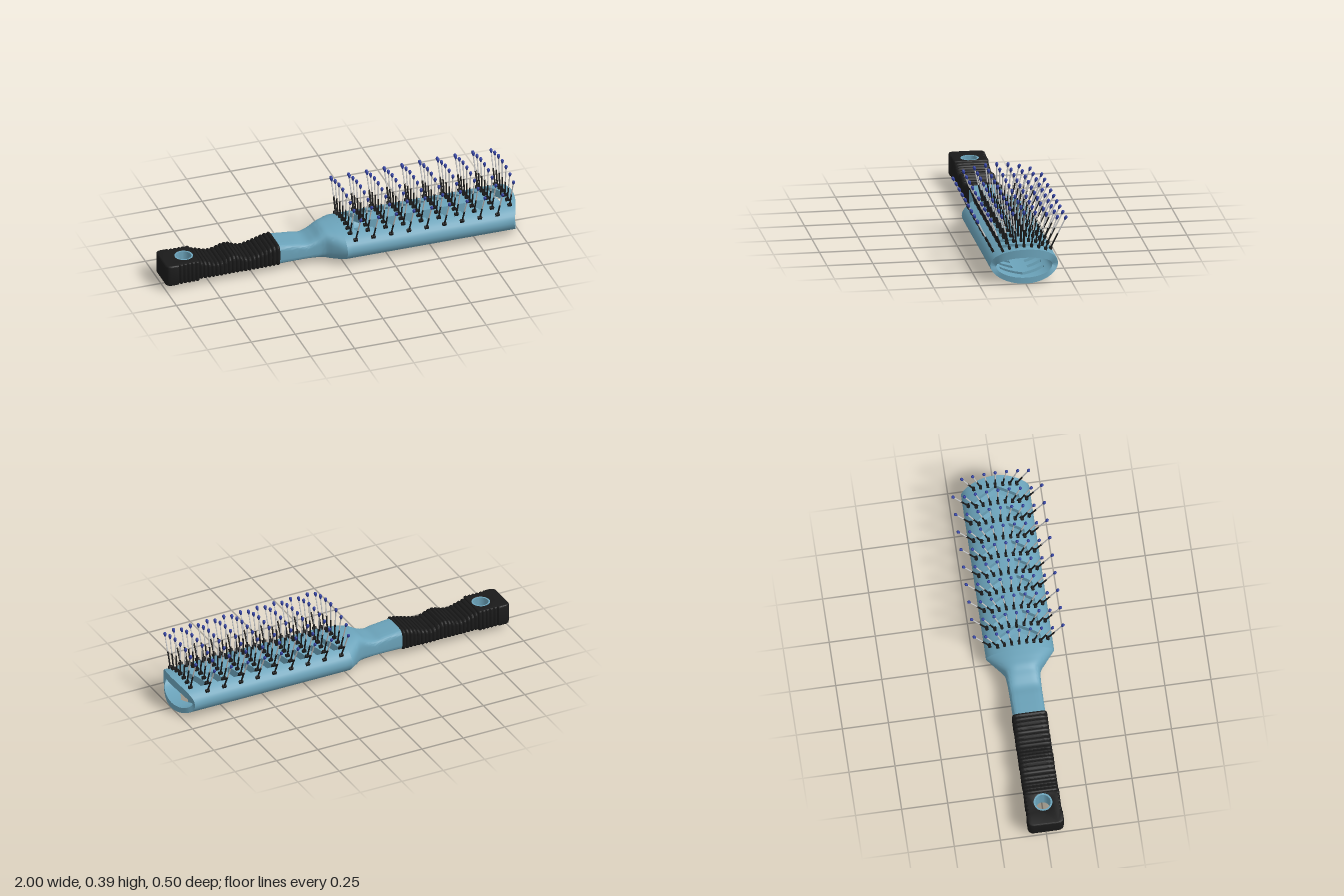
import * as THREE from 'three';
import { toCreasedNormals } from 'three/addons/utils/BufferGeometryUtils.js';

const mat = (color) => new THREE.MeshStandardMaterial({ color });
const BLUE = mat(0x6ba3ba), BLACK = mat(0x1a1a1a), STEEL = mat(0xcccccc), TIP = mat(0x2f3f9f);

function named(name, geometry, material) {
  const mesh = new THREE.Mesh(geometry, material);
  mesh.name = name;
  return mesh;
}

// Collects quads and turns them into a geometry with sharp edges kept
function builder() {
  const pos = [];
  const tri = (...pts) => pts.forEach((p) => pos.push(...p));
  return {
    tri,
    quad: (a, b, c, d) => { tri(a, b, c); tri(a, c, d); },
    finish: (crease) => {
      const g = new THREE.BufferGeometry();
      g.setAttribute('position', new THREE.Float32BufferAttribute(pos, 3));
      return toCreasedNormals(g, crease);
    },
  };
}

// Closed loft of superellipse sections { x, y0, y1, hz, n }
function loft(sections, crease, around = 48) {
  const b = builder();
  const rings = sections.map(({ x, y0, y1, hz, n }) => Array.from({ length: around }, (_, q) => {
    const t = (q / around) * Math.PI * 2, c = Math.cos(t), s = Math.sin(t);
    const pow = (v) => Math.sign(v) * Math.abs(v) ** (2 / n);
    return [x, (y0 + y1) / 2 + pow(s) * (y1 - y0) / 2, pow(c) * hz];
  }));
  const mid = ({ x, y0, y1 }) => [x, (y0 + y1) / 2, 0];
  const last = rings.length - 1;
  for (let q = 0; q < around; q++) {
    const r = (q + 1) % around;
    for (let i = 0; i < last; i++) b.quad(rings[i][q], rings[i + 1][q], rings[i + 1][r], rings[i][r]);
    b.tri(mid(sections[0]), rings[0][q], rings[0][r]);
    b.tri(mid(sections[last]), rings[last][r], rings[last][q]);
  }
  return b.finish(crease);
}

// Hollow oval barrel: a grid whose x lines follow the chevrons, with slot cells left out
function barrelGeometry() {
  const zOut = [0, 0.02, 0.04, 0.06, 0.08, 0.1, 0.12, 0.14, 0.157, 0.17, 0.18, 0.185];
  const zIn = [0, 0.02, 0.04, 0.06, 0.08, 0.1, 0.12, 0.133, 0.142, 0.148, 0.152, 0.153];
  const m = zOut.length - 1, around = 4 * m, slots = 9, cols = 2 * slots + 1;
  const arc = (z, half) => Math.sqrt(Math.max(0, 1 - (z / half) ** 2));
  const ring = Array.from({ length: around }, (_, q) => {
    const up = q < 2 * m ? 1 : -1, k = (m - (q % (2 * m))) * up, a = Math.abs(k), s = Math.sign(k);
    return {
      z: zOut[a],
      out: [0.095 + up * 0.095 * arc(zOut[a], 0.185), s * zOut[a]],
      inn: [0.089 + up * 0.056 * arc(zIn[a], 0.153), s * zIn[a]],
    };
  });
  const lineX = (c, z) => {
    if (c === 0) return 0;
    if (c === cols) return 0.95 + 0.05 * (1 - (z / 0.185) ** 2);
    return 0.12 + 0.1 * Math.floor((c - 1) / 2) + (c % 2 ? -0.022 : 0.022) - 0.5 * Math.min(z, 0.13);
  };
  const point = (side, q, c) => {
    const r = ring[(q + around) % around];
    return [lineX(c, r.z), ...r[side]];
  };
  const solid = (q, c) => {
    if (c >= cols) return false;
    if (c < 0 || c % 2 === 0) return true;
    const z = (ring[(q + around) % around].z + ring[(q + 1 + around) % around].z) / 2;
    const joined = c === 1 || c === cols - 2;
    return z > 0.12 || (z < 0.04 && !joined);
  };
  const b = builder();
  for (let q = 0; q < around; q++) {
    for (let c = 0; c < cols; c++) {
      if (!solid(q, c)) continue;
      const corners = [[q, c], [q, c + 1], [q + 1, c + 1], [q + 1, c]];
      const o = corners.map((p) => point('out', ...p)), n = corners.map((p) => point('inn', ...p));
      b.quad(...o);
      b.quad(n[3], n[2], n[1], n[0]);
      // walls of the slots and the open end
      [[q - 1, c], [q, c + 1], [q + 1, c], [q, c - 1]].forEach((near, e) => {
        const f = (e + 1) % 4;
        if (!solid(...near)) b.quad(o[f], o[e], n[e], n[f]);
      });
    }
  }
  return b.finish(0.6);
}

// Neck flaring from the grip section to the oval barrel
function neckGeometry() {
  const keys = [ // x, bottom, top, half width, squareness
    [-0.36, 0.032, 0.152, 0.088, 5], [-0.28, 0.034, 0.143, 0.088, 5], [-0.2, 0.034, 0.132, 0.089, 4.5],
    [-0.15, 0.029, 0.148, 0.091, 4], [-0.1, 0.019, 0.18, 0.1, 3.2], [-0.05, 0.008, 0.188, 0.141, 2.5],
    [0, 0, 0.19, 0.185, 2],
  ];
  const size = new THREE.CatmullRomCurve3(keys.map((k) => new THREE.Vector3(k[1], k[2], k[3])));
  const place = new THREE.CatmullRomCurve3(keys.map((k) => new THREE.Vector3(k[0], k[4], 0)));
  return loft(Array.from({ length: 31 }, (_, i) => {
    const s = size.getPoint(i / 30), p = place.getPoint(i / 30);
    return { x: p.x, y0: s.x, y1: s.y, hz: s.z, n: p.y };
  }), 0.7);
}

const PITCH = 0.023, GRIP_END = -0.35, GRIP_JOIN = GRIP_END - 20 * PITCH;
const ridge = (x) => 0.01 * Math.sqrt(Math.abs(Math.sin((Math.PI * (x - GRIP_END)) / PITCH)));

// Ridged grip with a finger-shaped wavy top
function gripGeometry() {
  const wave = [[-0.83, 0.15], [-0.7, 0.12], [-0.61, 0.143], [-0.53, 0.117], [-0.35, 0.157]];
  const topAt = (x) => {
    const i = Math.max(1, wave.findIndex((w) => w[0] >= x - 1e-6));
    const [[xa, ya], [xb, yb]] = [wave[i - 1], wave[i]];
    return THREE.MathUtils.lerp(ya, yb, THREE.MathUtils.smoothstep(x, xa, xb));
  };
  return loft(Array.from({ length: 121 }, (_, i) => {
    const x = GRIP_JOIN + (i * PITCH) / 6, r = ridge(x) - 0.01;
    return { x, y0: 0.03 - r, y1: topAt(Math.min(x, GRIP_END)) + r, hz: 0.096 + r, n: 6 };
  }), 0.7);
}

// Butt of the grip with scalloped sides and the hanging hole
function buttGeometry() {
  const side = [], start = GRIP_JOIN - 5 * PITCH;
  for (let i = 0; i <= 30; i++) {
    const x = GRIP_JOIN - (i * PITCH) / 6;
    side.push([x, 0.086 + ridge(x)]);
  }
  side.push([start - 0.006, 0.098], [-0.975, 0.098], [-0.99, 0.092], [-0.998, 0.08], [-1, 0.065]);
  const outline = [...side, ...side.slice().reverse().map(([x, z]) => [x, -z])];
  const shape = new THREE.Shape(outline.map(([x, z]) => new THREE.Vector2(x, z)));
  const hole = new THREE.Path();
  hole.absarc(-0.87, 0, 0.046, 0, Math.PI * 2, true);
  shape.holes.push(hole);
  const g = new THREE.ExtrudeGeometry(shape, {
    depth: 0.104, bevelThickness: 0.008, bevelSize: 0.008, bevelOffset: -0.008, bevelSegments: 3, curveSegments: 24,
  });
  return toCreasedNormals(g.rotateX(-Math.PI / 2).translate(0, 0.038, 0), 0.6);
}

export function createModel() {
  const brush = new THREE.Group();
  brush.name = 'ventedHairbrush';
  brush.add(
    named('barrel', barrelGeometry(), BLUE),
    named('neck', neckGeometry(), BLUE),
    named('grip', gripGeometry(), BLACK),
    named('gripButt', buttGeometry(), BLACK),
  );

  // Lining of the hanging hole
  const ringProfile = [[0.041, 0.031], [0.052, 0.031], [0.052, 0.149], [0.041, 0.149], [0.041, 0.031]];
  const lining = new THREE.LatheGeometry(ringProfile.map((p) => new THREE.Vector2(...p)), 32);
  const ring = named('holeLining', toCreasedNormals(lining, 0.6), BLUE);
  ring.position.x = -0.87;
  brush.add(ring);

  // Bristle parts, standing on the origin
  const tipProfile = [[0, 0.178], [0.004, 0.178], [0.0075, 0.187], [0.009, 0.194], [0.007, 0.2], [0.004, 0.203], [0, 0.204]];
  const parts = [
    ['bristleRoot', new THREE.BoxGeometry(0.022, 0.03, 0.014), BLACK],
    ['bristleSleeve', new THREE.CylinderGeometry(0.0045, 0.0045, 0.1, 8).translate(0, 0.045, 0), BLACK],
    ['bristlePin', new THREE.CylinderGeometry(0.0036, 0.0036, 0.09, 8).translate(0, 0.138, 0), STEEL],
    ['bristleTip', new THREE.LatheGeometry(tipProfile.map((p) => new THREE.Vector2(...p)), 10), TIP],
  ];
  // Base z, base y, tip z, tip y from the middle row outwards
  const rows = [
    [0, 0.19, 0, 0.39], [0.04, 0.188, 0.062, 0.387], [0.078, 0.18, 0.124, 0.376],
    [0.115, 0.169, 0.185, 0.36], [0.155, 0.147, 0.246, 0.33],
  ];
  for (let i = 0; i < 10; i++) {
    for (let k = -4; k <= 4; k++) {
      const outer = Math.abs(k) === 4;
      if (outer && i === 9) continue; // the rounded end leaves no room here
      const [z, y, tz, ty] = rows[Math.abs(k)], s = Math.sign(k);
      const bristle = new THREE.Group();
      bristle.name = 'bristle';
      bristle.add(...parts.map((p) => named(...p)));
      bristle.position.set((outer ? 0.054 : 0.036) + 0.101 * i, y, s * z);
      bristle.rotation.x = s * Math.atan2(tz - z, ty - y);
      brush.add(bristle);
    }
  }
  return brush;
}
